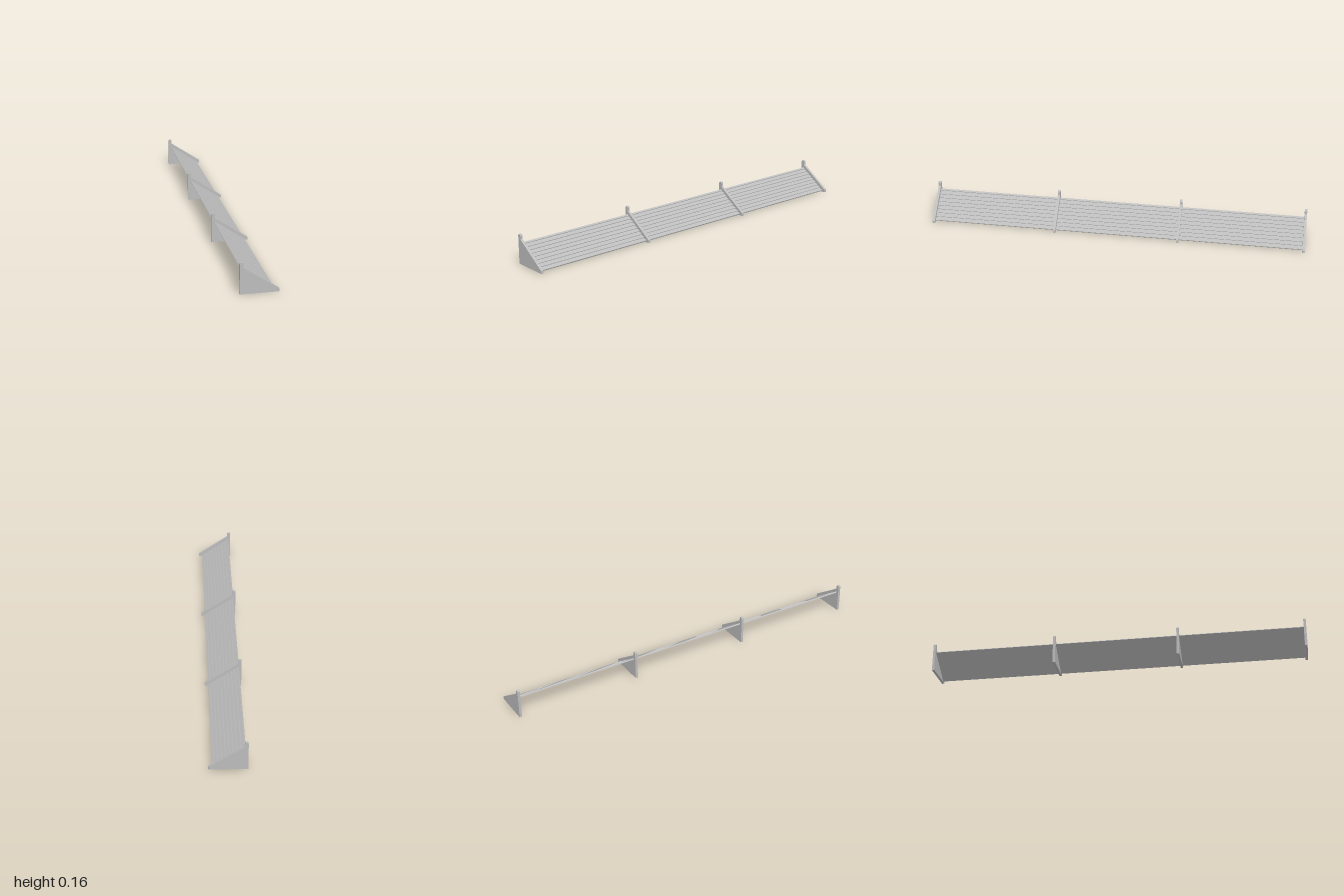
import * as THREE from 'three';

const grey = new THREE.MeshStandardMaterial({ color: 0xbcbcbc });
grey.name = 'grey';

// Extrudes an x-y outline along z, centred on the given z
function extrude(name, points, depth, z) {
  const shape = new THREE.Shape(points.map(([x, y]) => new THREE.Vector2(x, y)));
  const geometry = new THREE.ExtrudeGeometry(shape, { depth, bevelEnabled: false });
  geometry.translate(0, 0, z - depth / 2);
  const mesh = new THREE.Mesh(geometry, grey);
  mesh.name = name;
  return mesh;
}

// Triangular support with a round-topped post at the high end
const bracketOutline = [
  [-0.094, 0], [0.094, 0], [0.094, 0.015], [-0.076, 0.13],
  [-0.076, 0.148], [-0.079, 0.153], [-0.082, 0.155],
  [-0.088, 0.155], [-0.091, 0.153], [-0.094, 0.148],
];

// Ribbed sheet in its own frame: u runs down the slope, v stands off it
function panelOutline() {
  const ribs = 9, length = 0.187, base = -0.0035;
  const pitch = length / (ribs - 0.45), width = pitch * 0.55;
  const uv = [[length, -0.007], [0, -0.007]];
  for (let i = 0; i < ribs; i++) {
    const u = i * pitch;
    uv.push([u, base], [u + 0.001, 0], [u + width - 0.001, 0], [u + width, base]);
  }
  const angle = Math.atan2(-0.115, 0.17);
  const c = Math.cos(angle), s = Math.sin(angle);
  return uv.map(([u, v]) => [-0.078 + u * c - v * s, 0.114 + u * s + v * c]);
}

export function createModel() {
  const model = new THREE.Group();
  model.name = 'slopedRack';

  // Four evenly spaced supports
  const thickness = 0.013, end = 1 - thickness / 2;
  for (let i = 0; i < 4; i++) {
    model.add(extrude('bracket', bracketOutline, thickness, end * (1 - (2 * i) / 3)));
  }

  // One ribbed sheet running between the end supports
  model.add(extrude('ribbedPanel', panelOutline(), 2 - 2 * thickness, 0));
  return model;
}
